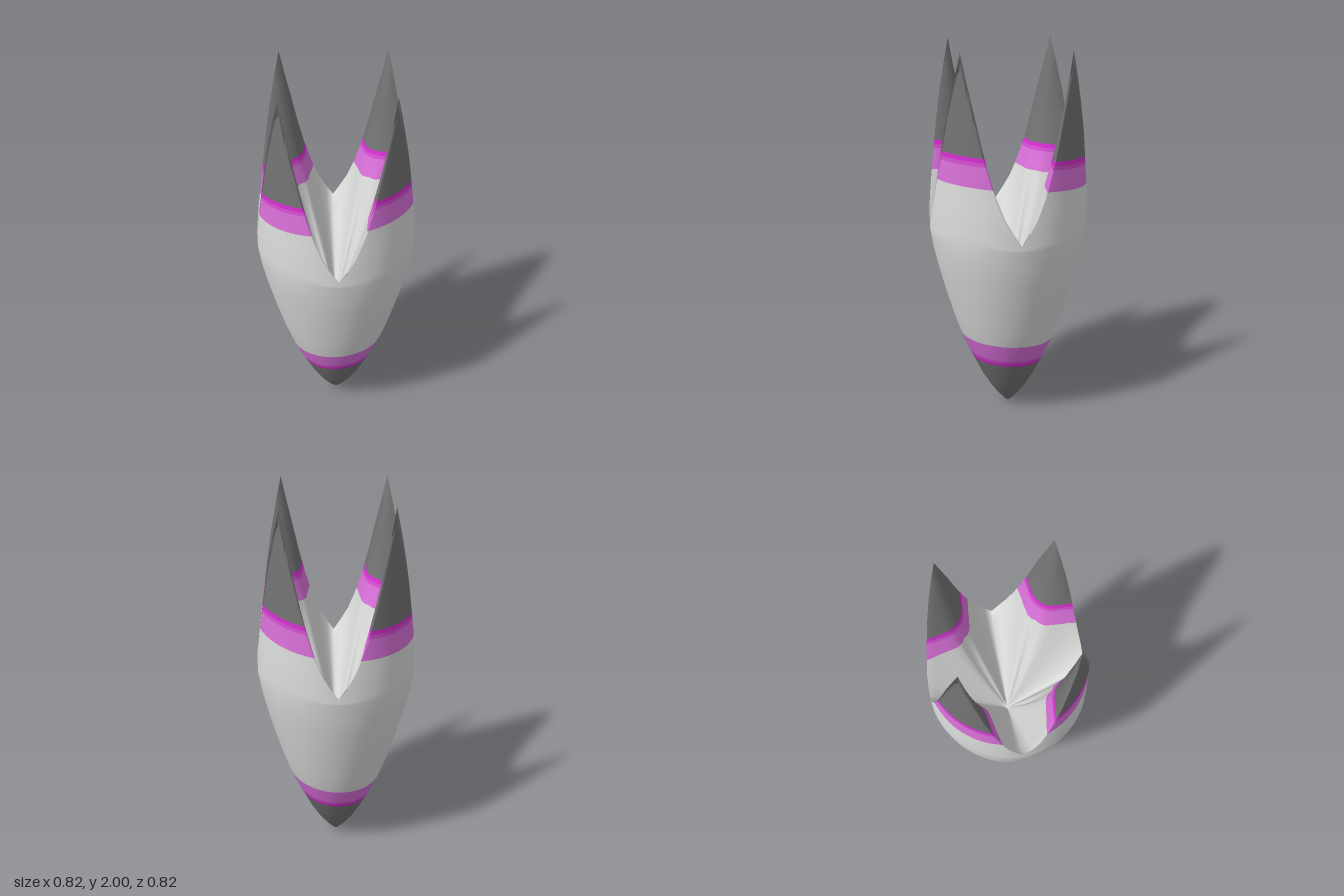
import * as THREE from 'three';

const COLS = 64;
const FLOOR = 0.65; // height of the bottom of the hollow
const TILT = 0.08; // paint bands lean towards +x +z

const material = (name, color) => {
  const m = new THREE.MeshStandardMaterial({ color });
  m.name = name;
  return m;
};

// Piecewise linear lookup in [input, output] pairs
function lookup(table, v) {
  for (let i = 1; i < table.length; i++) {
    const [a, fa] = table[i - 1], [b, fb] = table[i];
    if (v <= b) return fa + (fb - fa) * (v - a) / (b - a);
  }
  return table[table.length - 1][1];
}

// Outer radius by height
const RADIUS = [[0, 0], [0.02, 0.022], [0.06, 0.057], [0.12, 0.1], [0.2, 0.146], [0.3, 0.193],
  [0.42, 0.246], [0.55, 0.291], [0.7, 0.334], [0.85, 0.373], [0.95, 0.395], [1.05, 0.411],
  [1.2, 0.41], [1.35, 0.403], [1.6, 0.397], [2, 0.382]];
// Rim height by angle from the nearest notch
const RIM = [[0, 1.08], [0.073, 1.125], [0.183, 1.2], [0.331, 1.35], [0.44, 1.5],
  [0.6, 1.75], [Math.PI / 4, 2]];

// One closed skin: bottom tip, outer wall, four-pointed rim, hollow
function buildSkin() {
  const low = RADIUS.slice(1, 12).map(p => p[0]);
  const rows = [];
  for (const y of low) rows.push(() => [lookup(RADIUS, y), y]);
  for (let k = 1; k <= 12; k++) {
    rows.push(a => {
      const y = 1.05 + (lookup(RIM, a) - 1.05) * k / 12;
      return [lookup(RADIUS, y), y];
    });
  }
  for (let k = 11; k > 0; k--) {
    rows.push(a => {
      const s = k / 12, rim = lookup(RIM, a);
      const w = (a / (Math.PI / 4)) ** 4;
      const f = s - 0.5 * w * (s - s ** 3);
      return [s * lookup(RADIUS, rim), FLOOR + (rim - FLOOR) * f];
    });
  }

  const pos = [0, 0, 0];
  for (const row of rows) {
    for (let i = 0; i < COLS; i++) {
      const q = i % (COLS / 4);
      const a = Math.min(q, COLS / 4 - q) * 2 * Math.PI / COLS;
      const [r, y] = row(a), t = i * 2 * Math.PI / COLS;
      pos.push(r * Math.cos(t), y, r * Math.sin(t));
    }
  }
  pos.push(0, FLOOR, 0);
  const last = rows.length + 1;
  const id = (j, i) => j === 0 ? 0 : j === last ? pos.length / 3 - 1 : 1 + (j - 1) * COLS + i % COLS;

  const index = [];
  for (let j = 0; j < last; j++) {
    for (let i = 0; i < COLS; i++) {
      if (j < last - 1) index.push(id(j, i), id(j + 1, i), id(j + 1, i + 1));
      if (j > 0) index.push(id(j, i), id(j + 1, i + 1), id(j, i + 1));
    }
  }
  const g = new THREE.BufferGeometry();
  g.setAttribute('position', new THREE.Float32BufferAttribute(pos, 3));
  g.setIndex(index);
  g.computeVertexNormals();
  return g;
}

const level = v => v[1] - TILT * (v[0] + v[2]);

// Keep the part of a polygon where sign * (level - limit) >= 0
function clip(poly, limit, sign) {
  const out = [];
  poly.forEach((a, i) => {
    const b = poly[(i + 1) % poly.length];
    const da = sign * (level(a) - limit), db = sign * (level(b) - limit);
    if (da >= 0) out.push(a);
    if ((da > 0 && db < 0) || (da < 0 && db > 0)) {
      const t = da / (da - db);
      out.push(a.map((v, k) => v + (b[k] - v) * t));
    }
  });
  return out;
}

// Slice of the skin between two tilted levels
function slice(skin, lo, hi) {
  const p = skin.attributes.position.array, n = skin.attributes.normal.array;
  const ix = skin.index.array, pos = [], nor = [];
  const vertex = i => [...p.subarray(i * 3, i * 3 + 3), ...n.subarray(i * 3, i * 3 + 3)];
  for (let f = 0; f < ix.length; f += 3) {
    const tri = [vertex(ix[f]), vertex(ix[f + 1]), vertex(ix[f + 2])];
    const poly = clip(clip(tri, lo, 1), hi, -1);
    for (let k = 2; k < poly.length; k++) {
      for (const v of [poly[0], poly[k - 1], poly[k]]) {
        pos.push(v[0], v[1], v[2]);
        nor.push(v[3], v[4], v[5]);
      }
    }
  }
  const g = new THREE.BufferGeometry();
  g.setAttribute('position', new THREE.Float32BufferAttribute(pos, 3));
  g.setAttribute('normal', new THREE.Float32BufferAttribute(nor, 3));
  return g;
}

export function createModel() {
  const shell = material('pale grey', 0xdcdedc);
  const dark = material('dark grey', 0x747474);
  const pink = material('pink', 0xdc72dc);
  const orchid = material('orchid', 0xd850d4);
  const magenta = material('magenta', 0xd930d4);

  const group = new THREE.Group();
  group.name = 'fourProngedPod';
  const skin = buildSkin();
  // Painted zones from the bottom tip to the prong points
  const zones = [
    ['bottomTip', dark, -1, 0.295],
    ['lowerMagentaLine', magenta, 0.295, 0.315],
    ['lowerOrchidLine', orchid, 0.315, 0.332],
    ['lowerPinkBand', pink, 0.332, 0.435],
    ['body', shell, 0.435, 1.32],
    ['prongPinkBands', pink, 1.32, 1.428],
    ['prongOrchidLines', orchid, 1.428, 1.448],
    ['prongMagentaLines', magenta, 1.448, 1.47],
    ['prongPoints', dark, 1.47, 3],
  ];
  for (const [name, mat, lo, hi] of zones) {
    const mesh = new THREE.Mesh(slice(skin, lo, hi), mat);
    mesh.name = name;
    group.add(mesh);
  }
  return group;
}
